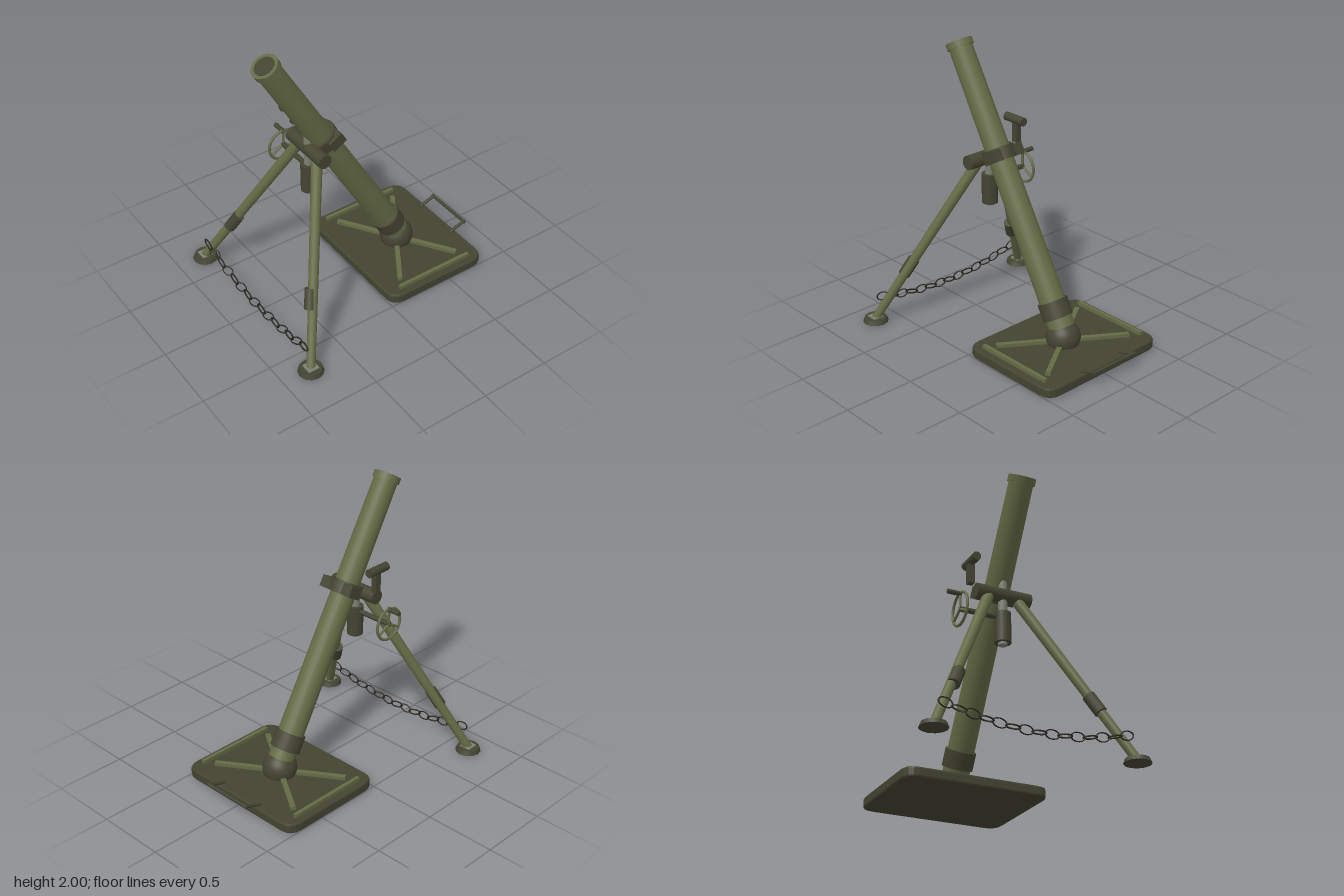
import * as THREE from 'three';

const V = (x, y, z) => new THREE.Vector3(x, y, z);

export function createModel() {
  const mat = (name, color) => {
    const m = new THREE.MeshStandardMaterial({ color });
    m.name = name;
    return m;
  };
  const olive = mat('olive green', 0x646a45);
  const dark = mat('dark olive', 0x444432);
  const steel = mat('steel', 0x7c7f72);
  const black = mat('blackened iron', 0x27271d);

  const root = new THREE.Group();
  root.name = 'mortar';

  const add = (parent, name, geo, material, x = 0, y = 0, z = 0) => {
    const m = new THREE.Mesh(geo, material);
    m.name = name;
    m.position.set(x, y, z);
    parent.add(m);
    return m;
  };
  const group = (name, parent = root) => {
    const g = new THREE.Group();
    g.name = name;
    parent.add(g);
    return g;
  };
  // Round bar from a to b
  const rod = (parent, name, a, b, ra, rb, material, sides = 16) => {
    const d = b.clone().sub(a);
    const m = add(parent, name, new THREE.CylinderGeometry(rb, ra, d.length(), sides), material);
    m.position.copy(a).addScaledVector(d, 0.5);
    m.quaternion.setFromUnitVectors(V(0, 1, 0), d.normalize());
    return m;
  };

  // Baseplate: rounded rectangle with bevelled edges
  const base = group('baseplate');
  const w = 0.498, h = 0.388, r = 0.085;
  const s = new THREE.Shape();
  s.moveTo(-w + r, -h);
  s.lineTo(w - r, -h);
  s.quadraticCurveTo(w, -h, w, -h + r);
  s.lineTo(w, h - r);
  s.quadraticCurveTo(w, h, w - r, h);
  s.lineTo(-w + r, h);
  s.quadraticCurveTo(-w, h, -w, h - r);
  s.lineTo(-w, -h + r);
  s.quadraticCurveTo(-w, -h, -w + r, -h);
  const plate = new THREE.ExtrudeGeometry(s, {
    depth: 0.046, bevelThickness: 0.012, bevelSize: 0.012, bevelSegments: 2, curveSegments: 4,
  });
  plate.rotateX(-Math.PI / 2);
  add(base, 'plate', plate, dark, 0, 0.02, -0.4);

  // Side strips, diagonal ribs and carrying handle
  for (const sx of [-1, 1]) {
    add(base, 'sideStrip', new THREE.BoxGeometry(0.026, 0.03, 0.6), olive, sx * 0.448, 0.09, -0.4);
    for (const sz of [-1, 1]) {
      const rib = add(base, 'diagonalRib', new THREE.BoxGeometry(0.42, 0.028, 0.034), olive,
        sx * 0.205, 0.088, -0.4 + sz * 0.134);
      rib.rotation.y = -sx * sz * Math.atan2(0.245, 0.375);
    }
    rod(base, 'handleArm', V(sx * 0.178, 0.08, -0.755), V(sx * 0.178, 0.122, -0.88), 0.012, 0.012, dark, 10);
  }
  rod(base, 'handleBar', V(-0.19, 0.122, -0.88), V(0.19, 0.122, -0.88), 0.012, 0.012, dark, 10);
  add(base, 'ballSocket', new THREE.SphereGeometry(0.12, 24, 16), dark, 0, 0.12, -0.4);

  // Barrel assembly, leaning forward 30 degrees
  const barrel = group('barrel');
  barrel.position.set(0, 0.14, -0.41);
  barrel.rotation.x = Math.PI / 6;
  add(barrel, 'tube', new THREE.CylinderGeometry(0.083, 0.092, 2.03, 24), olive, 0, 1.065, 0);
  add(barrel, 'breechCollar', new THREE.CylinderGeometry(0.105, 0.105, 0.12, 24), dark, 0, 0.18, 0);
  add(barrel, 'muzzleRing', new THREE.CylinderGeometry(0.094, 0.094, 0.045, 24), olive, 0, 2.072, 0);
  add(barrel, 'bore', new THREE.CylinderGeometry(0.07, 0.07, 0.006, 24), dark, 0, 2.094, 0);
  add(barrel, 'clampRing', new THREE.CylinderGeometry(0.115, 0.115, 0.09, 12), dark, 0, 1.285, 0);
  add(barrel, 'clampBlock', new THREE.BoxGeometry(0.27, 0.08, 0.11), dark, 0, 1.28, -0.045);

  // Crossbar and elevating screw
  const mount = group('mount');
  const Z = 0.335;
  rod(mount, 'crossbar', V(-0.195, 1.212, Z), V(0.195, 1.212, Z), 0.05, 0.05, dark, 20);
  rod(mount, 'elevatingScrew', V(0, 0.855, Z), V(0, 1.34, Z), 0.031, 0.031, steel);
  rod(mount, 'screwHousing', V(0, 0.872, Z), V(0, 1.085, Z), 0.056, 0.056, dark, 20);

  // Handwheel with three spokes and a crank grip
  const wheel = group('handwheel');
  rod(wheel, 'wheelShaft', V(-0.31, 1.052, Z), V(-0.03, 1.052, Z), 0.018, 0.018, dark, 12);
  const rim = add(wheel, 'rim', new THREE.TorusGeometry(0.112, 0.01, 8, 28), olive, -0.305, 1.052, Z);
  rim.rotation.y = Math.PI / 2;
  for (let i = 0; i < 3; i++) {
    const a = Math.PI / 2 + i * Math.PI * 2 / 3;
    rod(wheel, 'spoke', V(-0.305, 1.052, Z),
      V(-0.305, 1.052 + 0.112 * Math.sin(a), Z + 0.112 * Math.cos(a)), 0.009, 0.009, olive, 8);
  }
  rod(wheel, 'grip', V(-0.395, 1.16, Z), V(-0.298, 1.16, Z), 0.016, 0.016, dark, 12);

  // Sight
  const sight = group('sight');
  add(sight, 'sightPost', new THREE.BoxGeometry(0.042, 0.15, 0.045), dark, -0.216, 1.345, 0.3);
  rod(sight, 'sightTube', V(-0.216, 1.43, 0.225), V(-0.216, 1.43, 0.4), 0.03, 0.03, dark);

  // Bipod legs with sleeves and feet
  for (const sx of [-1, 1]) {
    const leg = group(sx > 0 ? 'leftLeg' : 'rightLeg');
    const top = V(sx * 0.1, 1.2, Z), foot = V(sx * 0.68, 0.03, 0.795);
    rod(leg, 'legTube', top, foot, 0.038, 0.03, olive);
    const shift = V(-sx * 0.012, 0, 0.01);
    rod(leg, 'legSleeve', top.clone().lerp(foot, 0.62).add(shift), top.clone().lerp(foot, 0.72).add(shift),
      0.042, 0.042, dark, 12);
    add(leg, 'footPad', new THREE.CylinderGeometry(0.078, 0.09, 0.03, 12), dark, sx * 0.68, 0.025, 0.795);
    add(leg, 'footLug', new THREE.BoxGeometry(0.08, 0.015, 0.08), steel, sx * 0.68, 0.04, 0.795);
  }

  // Sagging chain of alternating links between the legs
  const chain = group('chain');
  const link = new THREE.TorusGeometry(0.047, 0.0055, 6, 18);
  link.scale(1, 0.64, 1);
  for (let i = 0; i < 15; i++) {
    const x = (i - 7) * 0.0871;
    const m = add(chain, 'chainLink', link, black, x, 0.095 + 0.22 * x * x, 0.8);
    m.rotation.set(i % 2 ? Math.PI / 2 : 0, 0, Math.atan(0.44 * x), 'ZYX');
  }
  return root;
}
